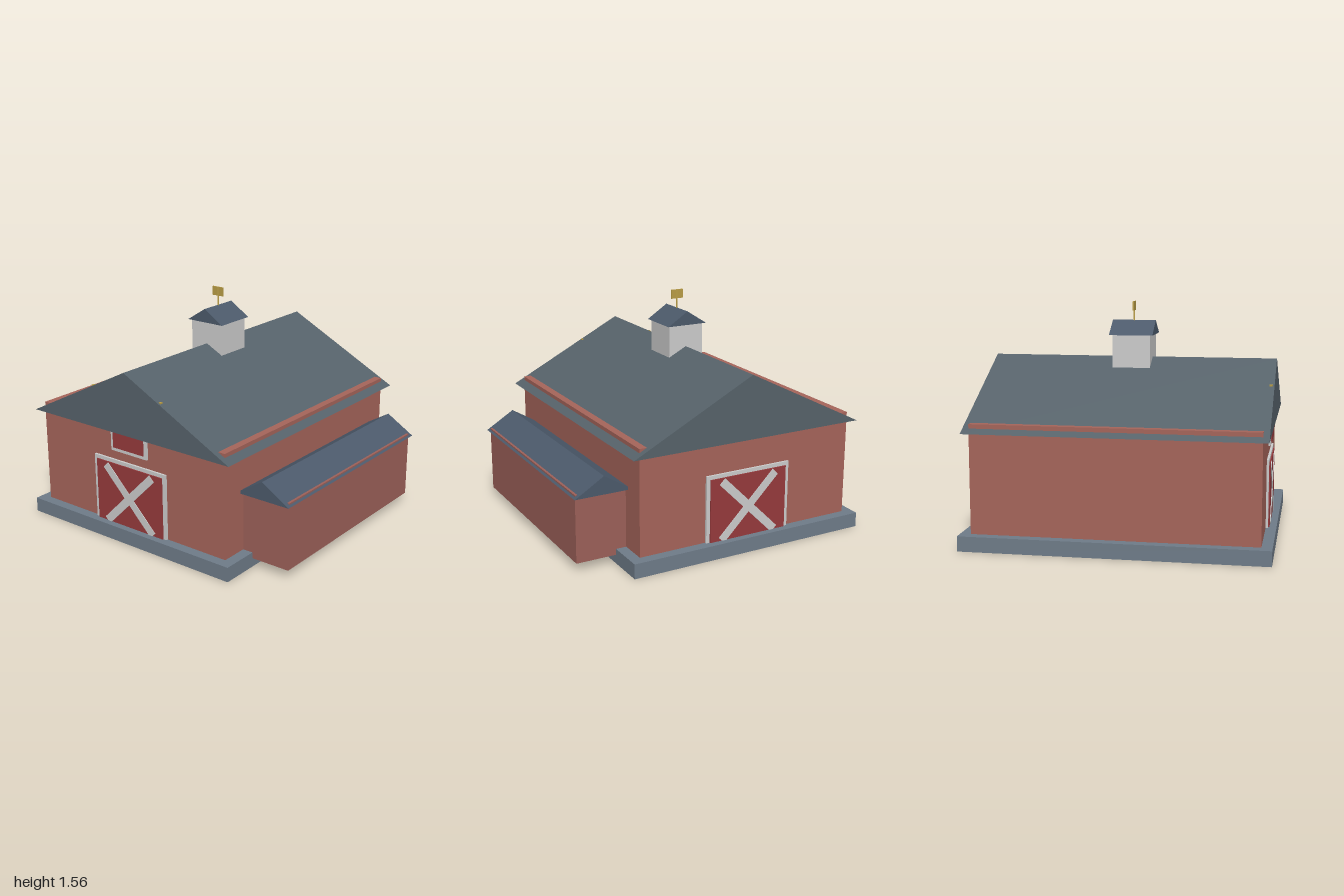
import * as THREE from 'three';

const mat = (color) => new THREE.MeshStandardMaterial({ color, flatShading: true });
const BARN_X = -0.145; // centre line of the main barn

export function createModel() {
  const root = new THREE.Group();
  root.name = 'barn';
  const red = mat(0xa5645a), annexRed = mat(0x9c6059), doorRed = mat(0x963a3c);
  const slate = mat(0x56626a), blueSlate = mat(0x4c5a6b), stone = mat(0x6e7b88);
  const trim = mat(0xcccccc), brass = mat(0xb89c45);

  // Box given by its limits on each axis
  function box(name, [x0, x1], [y0, y1], [z0, z1], material, parent = root) {
    const mesh = new THREE.Mesh(new THREE.BoxGeometry(x1 - x0, y1 - y0, z1 - z0), material);
    mesh.position.set((x0 + x1) / 2, (y0 + y1) / 2, (z0 + z1) / 2);
    mesh.name = name;
    parent.add(mesh);
    return mesh;
  }

  // Solid triangular gable roof with its ridge along z
  function gable(name, cx, halfWidth, y0, y1, halfDepth, material) {
    const shape = new THREE.Shape();
    shape.moveTo(-halfWidth, 0);
    shape.lineTo(halfWidth, 0);
    shape.lineTo(0, y1 - y0);
    shape.closePath();
    const geo = new THREE.ExtrudeGeometry(shape, { depth: halfDepth * 2, bevelEnabled: false });
    const mesh = new THREE.Mesh(geo, material);
    mesh.position.set(cx, y0, -halfDepth);
    mesh.name = name;
    root.add(mesh);
  }

  // Main barn; the wall tops show through the roof near the eaves
  box('foundation', [-1, 0.71], [0, 0.1], [-1, 1], stone);
  box('barnWalls', [-0.93, 0.637], [0.1, 0.816], [-0.93, 0.93], red);
  gable('barnRoof', BARN_X, 0.84, 0.76, 1.187, 0.97, slate);

  // Side annex
  box('annexWalls', [0.615, 0.985], [0.06, 0.517], [-0.742, 0.742], annexRed);
  gable('annexRoof', 0.8, 0.2, 0.498, 0.62, 0.772, blueSlate);

  // Cupola with weather vane
  box('cupolaWalls', [BARN_X - 0.13, BARN_X + 0.13], [1.1, 1.342], [-0.128, 0.128], trim);
  gable('cupolaRoof', BARN_X, 0.148, 1.34, 1.435, 0.148, blueSlate);
  const pole = new THREE.Mesh(new THREE.CylinderGeometry(0.006, 0.006, 0.15, 8), brass);
  pole.name = 'vanePole';
  pole.position.set(BARN_X, 1.485, 0);
  root.add(pole);
  box('vanePlate', [BARN_X - 0.045, BARN_X + 0.045], [1.5, 1.562], [-0.004, 0.004], brass);

  // Framed barn door with crossed braces, built facing +z about x = 0
  function barnDoor(name) {
    const door = new THREE.Group();
    door.name = name;
    box('doorPanel', [-0.285, 0.285], [0.1, 0.53], [0.92, 0.953], doorRed, door);
    for (const s of [-1, 1]) {
      const edges = [s * 0.284, s * 0.311].sort((a, b) => a - b);
      box('doorPost', edges, [0.1, 0.555], [0.92, 0.945], trim, door);
      const brace = box('doorBrace', [-0.285, 0.285], [0.277, 0.333], [0.945, 0.957], trim, door);
      brace.rotation.z = s * Math.PI / 4;
    }
    box('doorLintel', [-0.311, 0.311], [0.53, 0.555], [0.92, 0.945], trim, door);
    root.add(door);
    return door;
  }
  barnDoor('frontDoor').position.x = BARN_X;
  const backDoor = barnDoor('backDoor');
  backDoor.position.x = BARN_X;
  backDoor.rotation.y = Math.PI;

  // Hay loft hatch under the front gable
  box('loftFrame', [-0.3, 0.01], [0.62, 0.82], [0.92, 0.945], trim);
  box('loftHatch', [-0.276, -0.014], [0.645, 0.8], [0.93, 0.953], doorRed);

  // Small brass fittings just breaking the roof surface at the front
  for (const s of [-1, 1]) {
    const x = BARN_X + s * 0.29;
    box('roofFitting', [x - 0.007, x + 0.007], [1.0, 1.046], [0.938, 0.958], brass);
  }
  return root;
}
